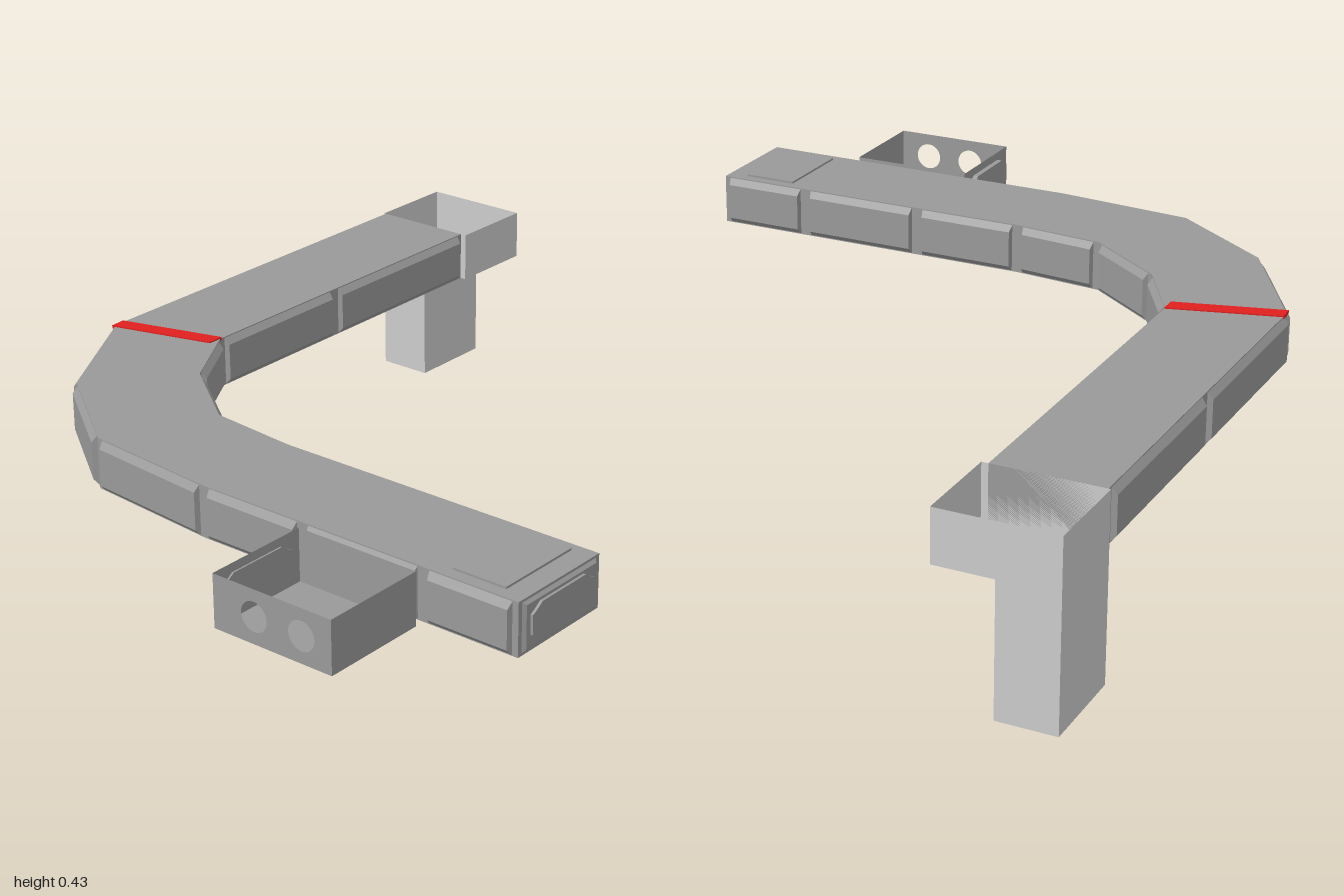
import * as THREE from 'three';

const Y0 = 0.3, Y1 = 0.42;
const material = color => new THREE.MeshStandardMaterial({ color, flatShading: true, side: THREE.DoubleSide });
const ductGrey = material(0x999999), lightGrey = material(0xcccccc), red = material(0xe02020);

function add(group, name, geometry, mat) {
  const mesh = new THREE.Mesh(geometry, mat);
  mesh.name = name;
  group.add(mesh);
  return mesh;
}

// Geometry from a list of quads, each given as four corner points
function quads(list) {
  const pos = [];
  for (const [a, b, c, d] of list) pos.push(...a, ...b, ...c, ...a, ...c, ...d);
  const g = new THREE.BufferGeometry();
  g.setAttribute('position', new THREE.Float32BufferAttribute(pos, 3));
  g.computeVertexNormals();
  return g;
}

// Six-sided solid between two matching four-corner loops
function solid(p, q) {
  const faces = [[p[3], p[2], p[1], p[0]], q];
  for (let i = 0; i < 4; i++) {
    const j = (i + 1) % 4;
    faces.push([p[i], p[j], q[j], q[i]]);
  }
  return quads(faces);
}

// Plan quad of [x, z] points raised between two heights
const slab = (plan, y0, y1) => solid(
  plan.map(([x, z]) => [x, y0, z]), plan.map(([x, z]) => [x, y1, z]));

// Bevelled panel standing out from the wall that runs from a to b
function sidePanel(a, b, sign) {
  const dx = b[0] - a[0], dz = b[1] - a[1], len = Math.hypot(dx, dz);
  const u = [dx / len, dz / len], n = [u[1] * sign, -u[0] * sign];
  const at = (t, out, y) => [a[0] + u[0] * t + n[0] * out, y, a[1] + u[1] * t + n[1] * out];
  const ring = (inset, out, y0, y1) => [
    at(inset, out, y0), at(len - inset, out, y0), at(len - inset, out, y1), at(inset, out, y1)];
  const base = ring(0.014, -0.002, Y0, Y1), face = ring(0.018, 0.012, Y0 + 0.015, Y1 - 0.018);
  return sign > 0 ? solid(base.reverse(), face.reverse()) : solid(base, face);
}

// Small plate with stepped ends, centred on its own origin and facing +z
function steppedPlate(w, h, depth) {
  const x = w / 2, y = h / 2, s = w * 0.15;
  const shape = new THREE.Shape([
    [-x, -y * 0.55], [-x + s * 0.4, -y * 0.7], [-x + s, -y], [x - s, -y], [x - s * 0.4, -y * 0.7], [x, -y * 0.55],
    [x, y * 0.55], [x - s * 0.4, y * 0.7], [x - s, y], [-x + s, y], [-x + s * 0.4, y * 0.7], [-x, y * 0.55],
  ].map(p => new THREE.Vector2(...p)));
  return new THREE.ExtrudeGeometry(shape, { depth, bevelEnabled: false });
}

function buildDuct() {
  const duct = new THREE.Group();
  duct.name = 'duct';
  // Joints along the run: outer corner, inner corner, as [x, z]
  const joints = [
    [[-0.727, 0.79], [-0.467, 0.79]],
    [[-0.727, 0.56], [-0.467, 0.56]],
    [[-0.727, 0.25], [-0.467, 0.25]],
    [[-0.727, -0.02], [-0.467, -0.02]],
    [[-0.695, -0.36], [-0.445, -0.24]],
    [[-0.515, -0.61], [-0.305, -0.43]],
    [[-0.215, -0.785], [-0.125, -0.535]],
    [[0.28, -0.785], [0.28, -0.535]],
    [[0.78, -0.785], [0.78, -0.535]],
  ];
  for (let i = 0; i + 1 < joints.length; i++) {
    const [o0, i0] = joints[i], [o1, i1] = joints[i + 1];
    add(duct, 'ductSection', slab([o0, i0, i1, o1], Y0, Y1), ductGrey);
    add(duct, 'outerPanel', sidePanel(o0, o1, 1), ductGrey);
    add(duct, 'innerPanel', sidePanel(i0, i1, -1), ductGrey);
  }
  // Red marker across the top
  add(duct, 'redBand', slab([[-0.228, -0.785], [-0.16, -0.535], [-0.12, -0.535], [-0.19, -0.787]], Y1 - 0.005, Y1 + 0.003), red);
  // Raised lid near the open end
  add(duct, 'lid', slab([[-0.7, 0.74], [-0.49, 0.74], [-0.49, 0.61], [-0.7, 0.61]], Y1 - 0.005, Y1 + 0.005), ductGrey);
  // Front cap with stepped plate
  const front = (w, y0, y1, z) => [[-0.597 - w, y0, z], [-0.597 + w, y0, z], [-0.597 + w, y1, z], [-0.597 - w, y1, z]];
  add(duct, 'endCap', solid(front(0.125, Y0, Y1, 0.785), front(0.112, Y0 + 0.012, Y1 - 0.012, 0.796)), ductGrey);
  add(duct, 'endPlate', steppedPlate(0.2, 0.08, 0.012), ductGrey).position.set(-0.597, 0.362, 0.79);
  // Plate facing the side box
  const plate = add(duct, 'sidePlate', steppedPlate(0.11, 0.07, 0.014), ductGrey);
  plate.position.set(-0.733, 0.36, 0.405);
  plate.rotation.y = -Math.PI / 2;
  return duct;
}

// Open-topped box beside the duct
function buildSideBox() {
  const box = new THREE.Group();
  box.name = 'sideBox';
  const x0 = -1, x1 = -0.75, z0 = 0.26, z1 = 0.56;
  const wall = (ax, az, bx, bz) => [[ax, Y0, az], [bx, Y0, bz], [bx, Y1, bz], [ax, Y1, az]];
  add(box, 'boxWalls', quads([
    wall(x0, z1, x1, z1), wall(x1, z1, x1, z0), wall(x1, z0, x0, z0),
    [[x0, Y0, z0], [x1, Y0, z0], [x1, Y0, z1], [x0, Y0, z1]],
  ]), ductGrey);
  // Outer wall pierced by two round holes
  const shape = new THREE.Shape([[z0, Y0], [z1, Y0], [z1, Y1], [z0, Y1]].map(p => new THREE.Vector2(...p)));
  for (const z of [0.365, 0.485]) {
    shape.holes.push(new THREE.Path().absarc(z, 0.36, 0.033, 0, Math.PI * 2, true));
  }
  const pierced = add(box, 'piercedWall', new THREE.ShapeGeometry(shape, 16), ductGrey);
  pierced.rotation.y = -Math.PI / 2;
  pierced.position.x = x0;
  add(box, 'backPlate', steppedPlate(0.2, 0.08, 0.017), ductGrey).position.set(-0.875, 0.36, 0.247);
  return box;
}

// Open-topped corner piece with a downward leg
function buildOutlet() {
  const x0 = 0.78, x1 = 1, back = -0.79, mid = -0.655, front = -0.52;
  const across = (y0, z0, y1, z1) => [[x0, y0, z0], [x1, y0, z0], [x1, y1, z1], [x0, y1, z1]];
  const side = (x, y0, y1, za, zb) => [[x, y0, za], [x, y0, zb], [x, y1, zb], [x, y1, za]];
  const outlet = new THREE.Group();
  outlet.name = 'outlet';
  add(outlet, 'outletShell', quads([
    across(Y0, front, Y1, front), across(Y0, front, Y0, mid).reverse(),
    across(0, mid, Y0, mid), across(0, back, 0, mid), across(0, back, Y1, back).reverse(),
    side(x1, 0, Y0, mid, back), side(x1, Y0, Y1, front, back),
    side(x0, 0, Y0, back, mid), side(x0, Y0, Y1, back, front),
  ].map((f, i) => (i === 1 ? f.reverse() : f))), lightGrey);
  return outlet;
}

export function createModel() {
  const model = new THREE.Group();
  model.name = 'ductRun';
  model.add(buildDuct(), buildSideBox(), buildOutlet());
  return model;
}
